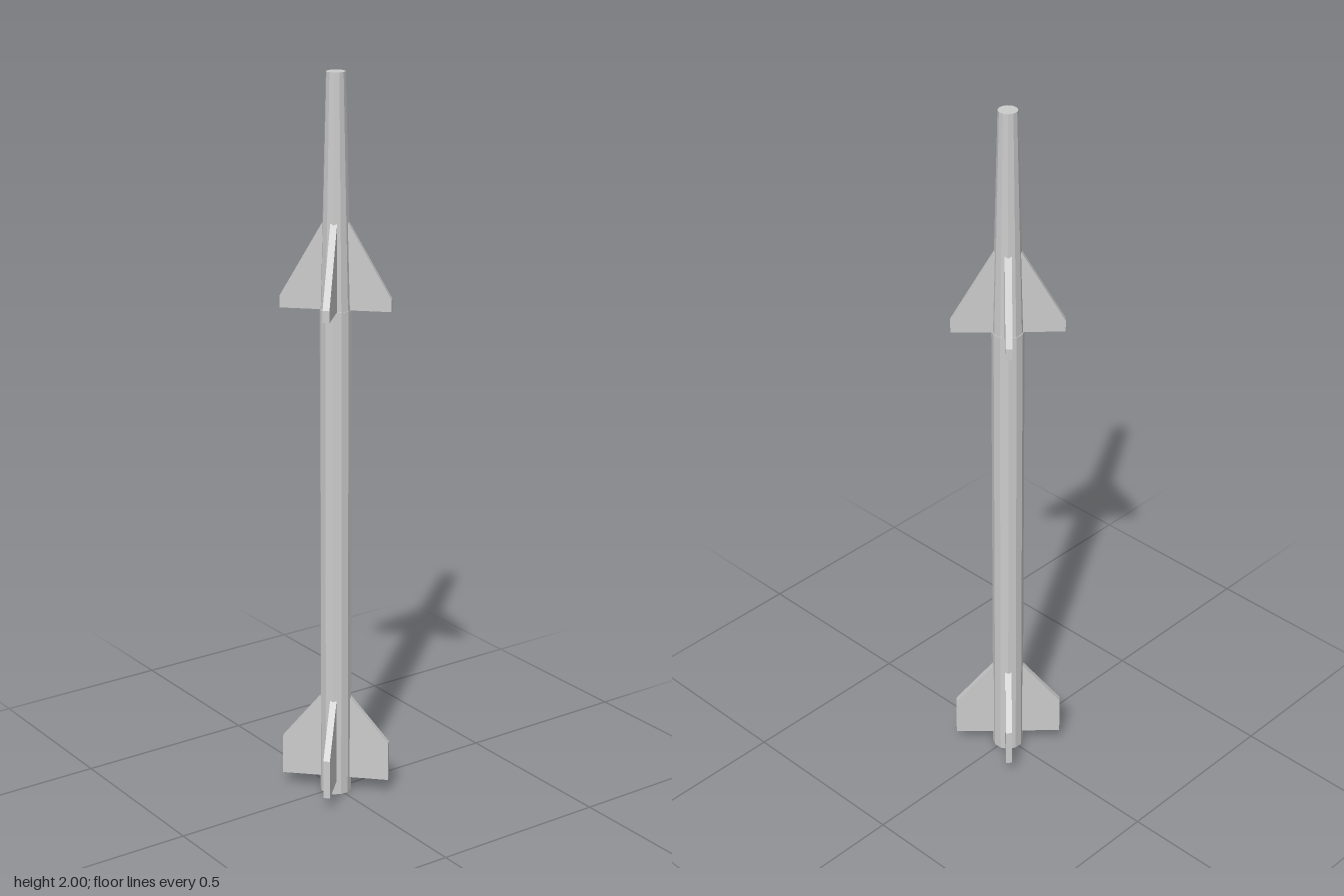
import * as THREE from 'three';

const material = new THREE.MeshStandardMaterial({ color: 0xcccccc, flatShading: true });
const SIDES = 12;

function addMesh(parent, name, geometry) {
  const mesh = new THREE.Mesh(geometry, material);
  mesh.name = name;
  parent.add(mesh);
  return mesh;
}

// Closed twelve-sided tube section with flats facing the axes
function section(radii, yBottom, yTop) {
  const points = [
    new THREE.Vector2(0, yBottom),
    new THREE.Vector2(radii[0], yBottom),
    new THREE.Vector2(radii[1], yTop),
    new THREE.Vector2(0, yTop),
  ];
  return new THREE.LatheGeometry(points, SIDES, Math.PI / SIDES);
}

// Four identical fins on the diagonals; outline is [radius, height] pairs
function addFins(parent, name, outline) {
  const thickness = 0.018;
  const shape = new THREE.Shape(outline.map(([r, y]) => new THREE.Vector2(r, y)));
  const geometry = new THREE.ExtrudeGeometry(shape, { depth: thickness, bevelEnabled: false });
  geometry.translate(0, 0, -thickness / 2);
  const fins = new THREE.Group();
  fins.name = name + 's';
  for (let i = 0; i < 4; i++) {
    addMesh(fins, name, geometry).rotation.y = Math.PI / 4 + (i * Math.PI) / 2;
  }
  parent.add(fins);
}

export function createModel() {
  const model = new THREE.Group();
  model.name = 'missile';

  // Straight body and blunt tapered nose
  addMesh(model, 'body', section([0.043, 0.043], 0, 1.38));
  addMesh(model, 'nose', section([0.041, 0.0255], 1.38, 2));

  // Triangular front fins and clipped tail fins
  addFins(model, 'frontFin', [[0.025, 1.38], [0.148, 1.38], [0.148, 1.412], [0.032, 1.615], [0.025, 1.615]]);
  addFins(model, 'tailFin', [[0.03, 0.04], [0.148, 0.04], [0.148, 0.15], [0.038, 0.285], [0.03, 0.285]]);

  return model;
}
